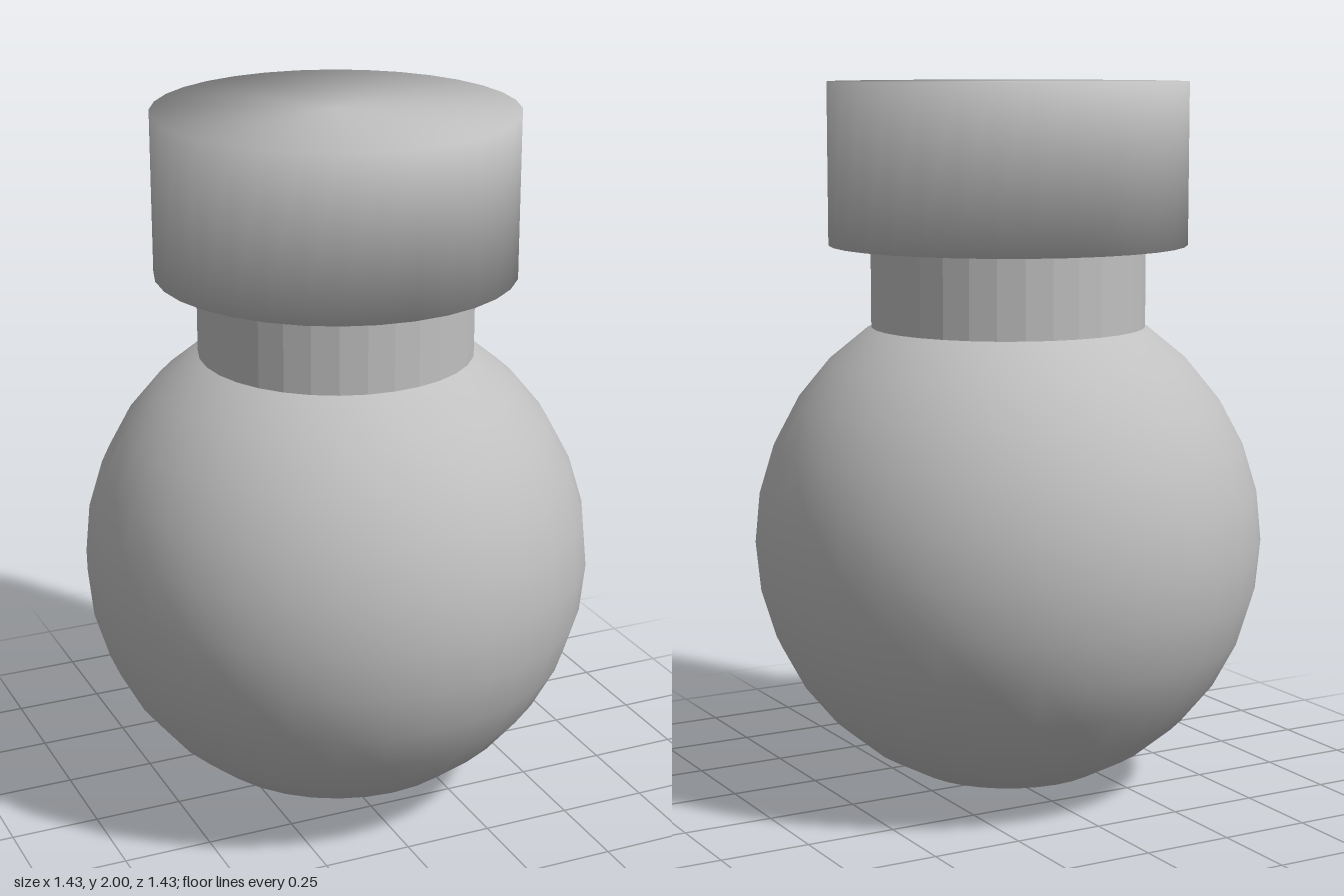
import * as THREE from 'three';
import { mergeVertices } from 'three/addons/utils/BufferGeometryUtils.js';

const SEGMENTS = 32;

// Weld the rims so the shading rolls softly over the edges
function welded(geometry) {
  geometry.deleteAttribute('normal');
  geometry.deleteAttribute('uv');
  const result = mergeVertices(geometry, 1e-4);
  result.computeVertexNormals();
  return result;
}

// Give every facet its own normal
function faceted(geometry) {
  const result = geometry.toNonIndexed();
  result.computeVertexNormals();
  return result;
}

export function createModel() {
  const model = new THREE.Group();
  model.name = 'roundFlask';

  const grey = new THREE.MeshStandardMaterial({ color: 0xc0c0c0 });
  grey.name = 'grey';

  const add = (name, geometry, y) => {
    const mesh = new THREE.Mesh(geometry, grey);
    mesh.name = name;
    mesh.position.y = y;
    model.add(mesh);
  };

  // Round body
  add('body', new THREE.SphereGeometry(0.717, SEGMENTS, 16), 0.717);

  // Neck, sunk into the body and reaching the stopper
  const neckBottom = 1.28, neckTop = 1.55;
  add('neck',
    faceted(new THREE.CylinderGeometry(0.385, 0.385, neckTop - neckBottom, SEGMENTS, 1, true)),
    (neckBottom + neckTop) / 2);

  // Wide stopper
  add('stopper', welded(new THREE.CylinderGeometry(0.502, 0.502, 0.45, SEGMENTS)), 1.775);

  return model;
}
